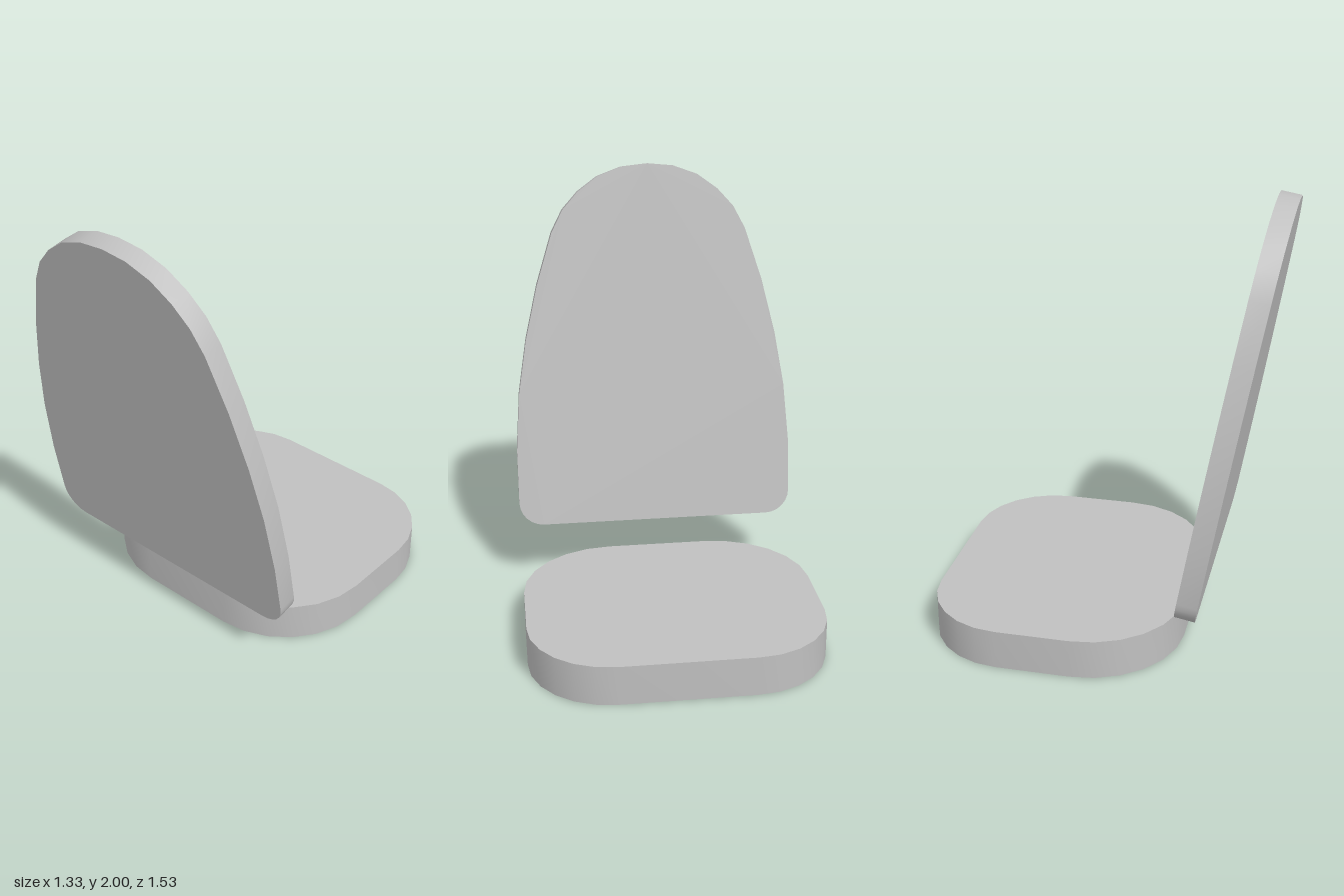
import * as THREE from 'three';
import { toCreasedNormals } from 'three/addons/utils/BufferGeometryUtils.js';

const grey = new THREE.MeshStandardMaterial({ color: 0xc0c0c0 });
grey.name = 'grey';

// Points of a quarter circle between two angles in degrees
function arc(cx, cy, r, from, to, steps = 6) {
  const points = [];
  for (let i = 0; i <= steps; i++) {
    const a = THREE.MathUtils.degToRad(from + ((to - from) * i) / steps);
    points.push([cx + r * Math.cos(a), cy + r * Math.sin(a)]);
  }
  return points;
}

// Slab from the right half of an outline (bottom to top), mirrored in x
function slab(name, half, depth) {
  const mirrored = half.filter(([x]) => x > 0).map(([x, y]) => [-x, y]).reverse();
  const shape = new THREE.Shape([...half, ...mirrored].map(([x, y]) => new THREE.Vector2(x, y)));
  const geometry = new THREE.ExtrudeGeometry(shape, { depth, bevelEnabled: false });
  const mesh = new THREE.Mesh(toCreasedNormals(geometry, Math.PI / 5), grey);
  mesh.name = name;
  return mesh;
}

export function createModel() {
  const model = new THREE.Group();
  model.name = 'seatCushions';

  // Seat pad: wide corners by the backrest, tighter ones at the far edge
  const seat = slab('seatPad', [
    ...arc(0.232, 0.066, 0.431, -90, 0),
    ...arc(0.295, 0.397, 0.368, 0, 90),
  ], 0.18);
  seat.rotation.x = -Math.PI / 2;
  model.add(seat);

  // Backrest: tapering panel with a rounded top, tilted by ten degrees
  const backrest = slab('backrest', [
    ...arc(0.548, 0.115, 0.115, -90, 0),
    [0.663, 0.37], [0.642, 0.645], [0.6, 0.9], [0.538, 1.16], [0.46, 1.405],
    [0.405, 1.51], [0.33, 1.593], [0.235, 1.662], [0.12, 1.704], [0, 1.716],
  ], 0.09);
  backrest.position.set(0, 0.311, 0.378);
  backrest.rotation.x = THREE.MathUtils.degToRad(10);
  model.add(backrest);

  return model;
}
